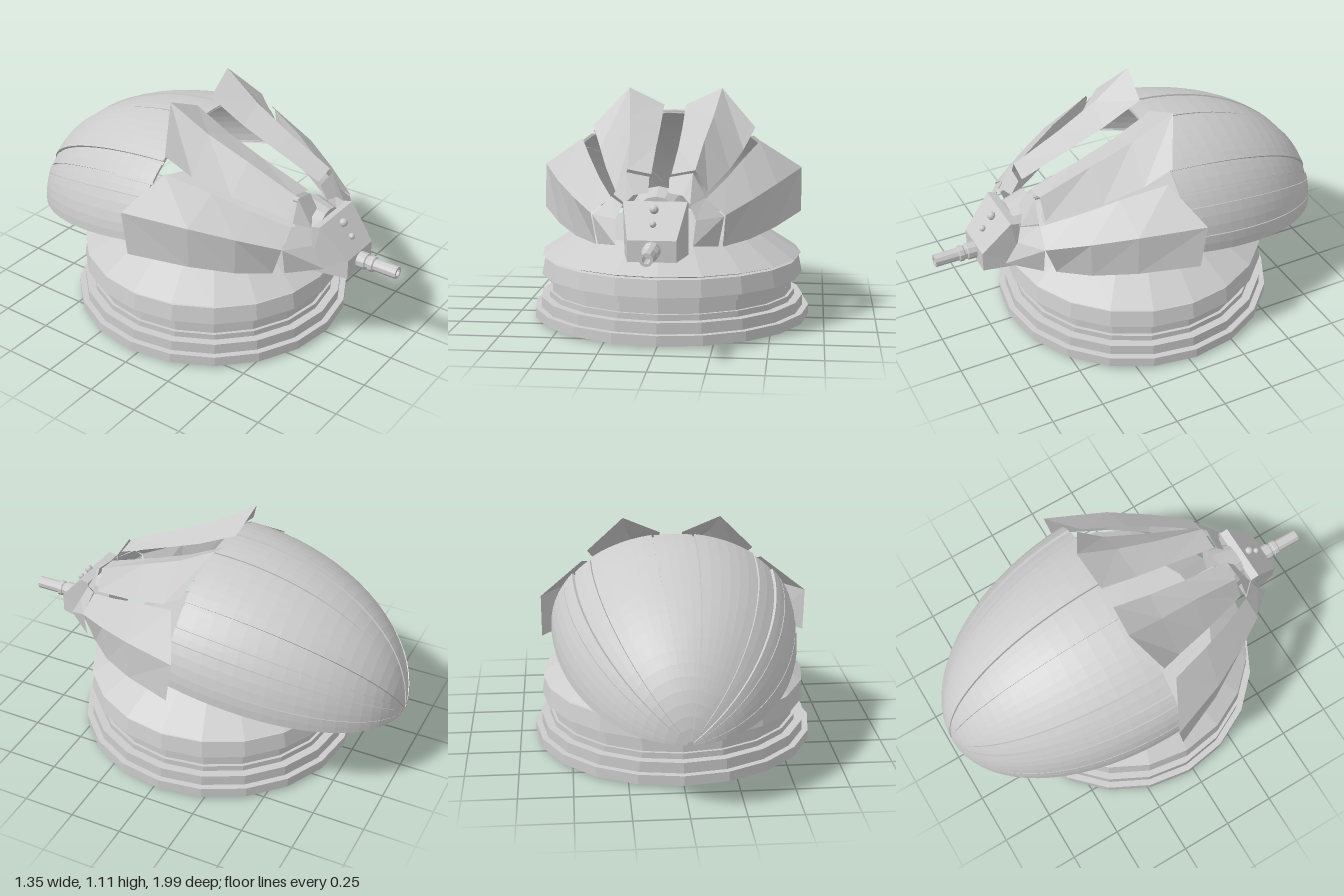
import * as THREE from 'three';
import { ParametricGeometry } from 'three/addons/geometries/ParametricGeometry.js';

const mat = new THREE.MeshStandardMaterial({ color: 0xcccccc, flatShading: true, side: THREE.DoubleSide });
const rad = THREE.MathUtils.degToRad;

function add(parent, name, geometry, x = 0, y = 0, z = 0) {
  const mesh = new THREE.Mesh(geometry, mat);
  mesh.name = name;
  mesh.position.set(x, y, z);
  parent.add(mesh);
}

const lathe = (points, sides) => new THREE.LatheGeometry(points.map(([r, y]) => new THREE.Vector2(r, y)), sides);

// Thin folded plate through stations of equal point count; m mirrors it, dx shifts it sideways
function plate(stations, m, dx = 0) {
  const pos = [];
  for (let i = 0; i + 1 < stations.length; i++) {
    for (let j = 0; j + 1 < stations[i].length; j++) {
      const a = stations[i][j], b = stations[i + 1][j], c = stations[i + 1][j + 1], d = stations[i][j + 1];
      const corners = m > 0 ? [a, b, c, a, c, d] : [a, c, b, a, d, c];
      corners.forEach(([x, y, z]) => pos.push(x * m + dx, y, z));
    }
  }
  const g = new THREE.BufferGeometry();
  g.setAttribute('position', new THREE.Float32BufferAttribute(pos, 3));
  g.computeVertexNormals();
  return g;
}

// Point on the rear shell: theta goes over the top from +x, phi runs back to the tip.
// The rim slopes down towards the tip while the crown follows an ellipse; k shrinks the section.
function shellPoint(theta, phi, k, target) {
  const c = Math.cos(phi), s = Math.sin(phi);
  const height = 0.665 * c - 0.225 * (1 - s);
  return target.set(0.587 * Math.cos(theta) * c * k, 0.57 - 0.225 * s + height * Math.sin(theta) * k, -0.035 - 0.96 * s * (0.5 + 0.5 * k));
}

// Gore of the shell between two angles, with its long edges and front rim turned inwards
function gore(from, to, k, lip) {
  const n = Math.max(4, Math.round((to - from) / 5) + 2);
  return new ParametricGeometry((u, v, target) => {
    const t = THREE.MathUtils.clamp((u * n - 1) / (n - 2), 0, 1);
    const w = Math.max(0, (v * 20 - 1) / 19);
    const edge = u < 0.001 || u > 0.999 || v < 0.001;
    shellPoint(rad(to + (from - to) * t), 1.545 * w, edge ? k - lip : k, target);
  }, n, 20);
}

function buildBase(root) {
  const base = new THREE.Group();
  base.name = 'base';
  base.position.z = -0.03;
  root.add(base);
  add(base, 'steppedPlinth', lathe([[0, 0.1], [0.25, 0.1], [0.25, 0], [0.28, 0], [0.3, 0.02], [0.3, 0.045],
    [0.6, 0.045], [0.625, 0.012], [0.675, 0.012], [0.675, 0.06], [0.645, 0.06], [0.645, 0.112], [0.605, 0.112],
    [0.605, 0.14], [0.59, 0.14], [0.59, 0.19], [0.605, 0.19], [0.605, 0.225], [0.64, 0.225], [0.625, 0.305],
    [0.605, 0.31], [0.635, 0.32], [0.45, 0.44], [0, 0.44]], 20));

  // Underside plate with four curved slots around the well
  const disc = new THREE.Shape().absarc(0, 0, 0.6, 0, Math.PI * 2, false);
  disc.holes.push(new THREE.Path().absarc(0, 0, 0.285, 0, Math.PI * 2, true));
  for (let i = 0; i < 4; i++) {
    const a = (i * Math.PI) / 2;
    const slot = new THREE.Path();
    slot.absarc(0, 0, 0.5, a - 0.42, a + 0.42, false);
    slot.absarc(0, 0, 0.37, a + 0.42, a - 0.42, true);
    slot.closePath();
    disc.holes.push(slot);
  }
  const under = new THREE.ExtrudeGeometry(disc, { depth: 0.035, bevelEnabled: false, curveSegments: 20 });
  add(base, 'undersidePlate', under.rotateX(Math.PI / 2), 0, 0.044, 0);
}

function buildShell(root) {
  const shell = new THREE.Group();
  shell.name = 'rearShell';
  root.add(shell);
  add(shell, 'shellLining', gore(2, 178, 0.972, 0.01));
  add(shell, 'shellCentreStrip', gore(81, 99, 0.992, 0.016));
  for (const [a, b, k] of [[0, 10, 1], [10.5, 27, 1], [27.5, 35, 1], [36.5, 47, 0.988], [49, 80, 1]]) {
    add(shell, 'shellPanel', gore(a, b, k, 0.025));
    add(shell, 'shellPanel', gore(180 - b, 180 - a, k, 0.025));
  }
}

function buildPetals(root) {
  const upper = [
    [[0.053, 1.03, -0.09], [0.228, 1.11, -0.115], [0.395, 0.93, -0.025]],
    [[0.053, 0.935, 0.1], [0.2, 0.99, 0.08], [0.345, 0.835, 0.09]],
    [[0.052, 0.865, 0.28], [0.173, 0.9, 0.28], [0.29, 0.765, 0.27]],
    [[0.045, 0.775, 0.53], [0.152, 0.795, 0.525], [0.208, 0.695, 0.525]]];
  const lower = [
    [[0.432, 0.87, 0.01], [0.632, 0.73, -0.09], [0.632, 0.52, -0.06]],
    [[0.36, 0.805, 0.22], [0.52, 0.69, 0.2], [0.515, 0.485, 0.2]],
    [[0.29, 0.735, 0.39], [0.415, 0.645, 0.39], [0.405, 0.46, 0.38]],
    [[0.212, 0.67, 0.55], [0.303, 0.6, 0.565], [0.288, 0.447, 0.51]]];
  const collarUpper = [
    [[0.045, 0.765, 0.545], [0.15, 0.785, 0.545], [0.205, 0.685, 0.555]],
    [[0.045, 0.7, 0.585], [0.11, 0.69, 0.598], [0.145, 0.655, 0.62]]];
  const collarLower = [
    [[0.21, 0.675, 0.555], [0.297, 0.595, 0.565], [0.272, 0.46, 0.565]],
    [[0.15, 0.65, 0.622], [0.178, 0.59, 0.65], [0.17, 0.485, 0.712]]];
  for (const [m, side] of [[1, 'left'], [-1, 'right']]) {
    add(root, side + 'UpperPetal', plate(upper, m, 0.012));
    add(root, side + 'LowerPetal', plate(lower, m));
    add(root, side + 'UpperCollar', plate(collarUpper, m, 0.005));
    add(root, side + 'LowerCollar', plate(collarLower, m));
  }
}

function buildHead(root) {
  const head = new THREE.Group();
  head.name = 'head';
  root.add(head);
  // Wedge housing: side profile extruded across, then narrowed towards the front
  const side = new THREE.Shape([[0.62, 0.43], [0.8, 0.43], [0.8, 0.525], [0.665, 0.675], [0.625, 0.665]]
    .map(([z, y]) => new THREE.Vector2(z, y)));
  const g = new THREE.ExtrudeGeometry(side, { depth: 2, bevelEnabled: false });
  g.rotateY(-Math.PI / 2).translate(1, 0, 0);
  const p = g.attributes.position;
  for (let i = 0; i < p.count; i++) {
    const t = Math.max(0, (p.getZ(i) - 0.665) / 0.135);
    p.setX(i, p.getX(i) * (0.143 - 0.036 * t));
  }
  g.computeVertexNormals();
  add(head, 'housing', g);

  // Neck, tapering into the housing, and inner rod behind it
  add(head, 'neck', new THREE.CylinderGeometry(0.1, 0.13, 0.11, 16).rotateX(Math.PI / 2), 0, 0.59, 0.575);
  add(head, 'innerRod', new THREE.CapsuleGeometry(0.014, 0.07, 4, 8).rotateX(Math.PI / 2), 0, 0.68, 0.46);

  // Two round studs on the sloping face
  add(head, 'upperStud', new THREE.SphereGeometry(0.02, 12, 8), 0, 0.645, 0.705);
  add(head, 'lowerStud', new THREE.SphereGeometry(0.015, 12, 8), 0, 0.588, 0.752);

  // Hollow stepped barrel
  add(head, 'barrel', lathe([[0.04, 0], [0.04, 0.04], [0.033, 0.045], [0.033, 0.055], [0.038, 0.06], [0.038, 0.08],
    [0.03, 0.085], [0.03, 0.2], [0.018, 0.2], [0.018, 0.1], [0, 0.1]], 10).rotateX(Math.PI / 2), 0, 0.482, 0.8);
}

export function createModel() {
  const root = new THREE.Group();
  root.name = 'domedTurret';
  buildBase(root);
  buildShell(root);
  buildPetals(root);
  buildHead(root);
  return root;
}
